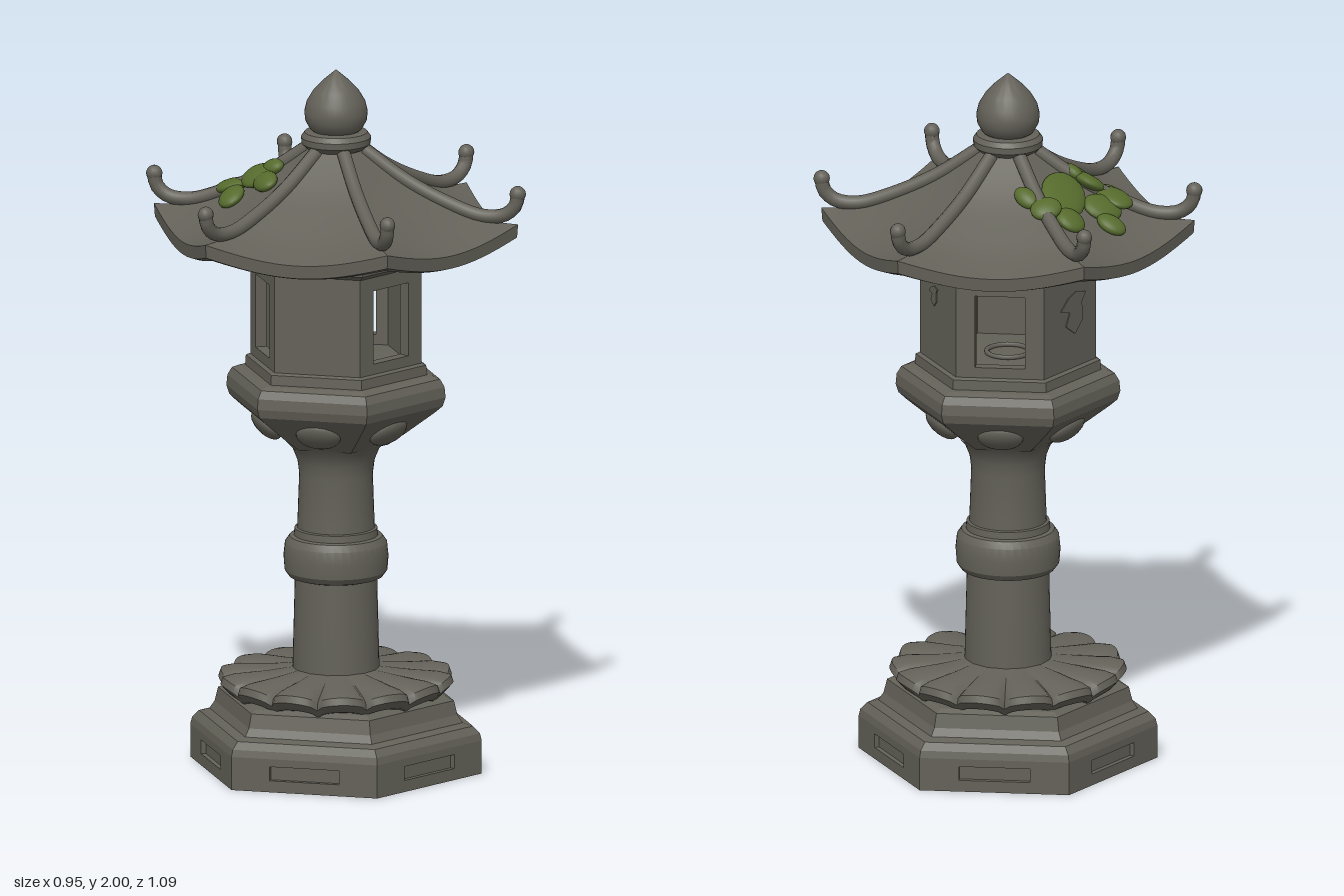
import * as THREE from 'three';
import { toCreasedNormals } from 'three/addons/utils/BufferGeometryUtils.js';

const SIXTH = Math.PI / 3;
const COS30 = Math.cos(Math.PI / 6);
const V2 = (p) => new THREE.Vector2(p[0], p[1]);

// Roof section along a hexagon corner: [radius, height]
const ROOF_TOP = [[0.525, 1.54], [0.42, 1.572], [0.32, 1.62], [0.2, 1.687], [0.07, 1.785]];
const ROOF_R = 0.525;

// Corner radius of a unit hexagon outline at angle a (a = 0 is a corner)
function hexFactor(a) {
  const rel = (((a % SIXTH) + SIXTH) % SIXTH) - SIXTH / 2;
  return COS30 / Math.cos(rel);
}
// Eave lift, greatest at the corners
function cornerLift(a, R) {
  const rel = ((((a % SIXTH) + SIXTH) % SIXTH) - SIXTH / 2) / (SIXTH / 2);
  return 0.045 * rel * rel * Math.pow(R / ROOF_R, 3);
}
function roofY(x, z) {
  const a = Math.atan2(x, z);
  const R = Math.hypot(x, z) / hexFactor(a);
  for (let i = 0; i < ROOF_TOP.length - 1; i++) {
    const [r0, y0] = ROOF_TOP[i], [r1, y1] = ROOF_TOP[i + 1];
    if (R >= r1) return y0 + (y1 - y0) * (r0 - R) / (r0 - r1) + cornerLift(a, R);
  }
  return 1.78;
}

export function createModel() {
  const model = new THREE.Group();
  const stone = new THREE.MeshStandardMaterial({ color: 0x636158 });
  stone.name = 'stone';
  const moss = new THREE.MeshStandardMaterial({ color: 0x566b2d });
  moss.name = 'moss';

  function add(name, geo, mat = stone) {
    const mesh = new THREE.Mesh(geo, mat);
    mesh.name = name;
    model.add(mesh);
    return mesh;
  }
  // Turned part: six sides for hexagonal, many for round; rule may move each vertex
  function turned(name, pts, sides, crease = 0.6, rule = null) {
    const geo = new THREE.LatheGeometry(pts.map(V2), sides);
    const p = geo.attributes.position;
    if (rule) {
      for (let i = 0; i < p.count; i++) {
        const x = p.getX(i), z = p.getZ(i);
        const r = Math.hypot(x, z), a = Math.atan2(x, z);
        const [nr, ny] = rule(r, p.getY(i), a);
        p.setXYZ(i, Math.sin(a) * nr, ny, Math.cos(a) * nr);
      }
    }
    return add(name, toCreasedNormals(geo, crease));
  }
  // One flat side of a hexagonal prism, optionally with a rectangular opening
  function wall(name, side, R, y0, y1, depth, hole) {
    const s = new THREE.Shape([[-R / 2, y0], [R / 2, y0], [R / 2, y1], [-R / 2, y1]].map(V2));
    if (hole) {
      const [w, b, t] = hole;
      s.holes.push(new THREE.Path([[-w, b], [-w, t], [w, t], [w, b]].map(V2)));
    }
    const geo = new THREE.ExtrudeGeometry(s, { depth, bevelEnabled: false });
    geo.translate(0, 0, R * COS30 - depth);
    geo.rotateY((side + 0.5) * SIXTH);
    add(name, geo);
  }

  // Base: core, sides with sunken panels, stepped upper tier
  turned('baseCore', [[0, 0], [0.403, 0], [0.403, 0.1], [0, 0.1]], 6, 0.3);
  for (let i = 0; i < 6; i++) wall('basePanel', i, 0.42, 0, 0.095, 0.014, [0.1, 0.033, 0.073]);
  turned('baseStep', [[0, 0.09], [0.42, 0.095], [0.415, 0.115], [0.395, 0.135], [0.365, 0.143],
    [0.35, 0.165], [0.34, 0.205], [0.32, 0.215], [0, 0.215]], 6, 0.3);

  // Lotus collar with petals
  const PETALS = 14;
  turned('lotusCollar', [[0, 0.205], [0.255, 0.21], [0.31, 0.225], [0.332, 0.25], [0.325, 0.27],
    [0.29, 0.278], [0.2, 0.28], [0.1, 0.288]], PETALS * 10, 0.7, (r, y, a) => {
    const petal = Math.pow(Math.abs(Math.sin(a * PETALS / 2)), 0.5);
    const t = THREE.MathUtils.smoothstep(r, 0.12, 0.33);
    return [r * (1 - 0.07 * t * (1 - petal)), y - 0.022 * t * (1 - petal)];
  });

  // Column with middle ring and flared neck
  turned('column', [[0.122, 0.27], [0.115, 0.55], [0.108, 0.7], [0.103, 0.84], [0.108, 0.88],
    [0.122, 0.915], [0.145, 0.94]], 40);
  turned('columnRing', [[0.105, 0.54], [0.132, 0.548], [0.144, 0.565], [0.147, 0.605], [0.143, 0.643],
    [0.13, 0.662], [0.118, 0.665], [0.116, 0.685], [0.1, 0.69]], 40, 0.5);

  // Hexagonal bowl with round bosses
  turned('bowl', [[0, 0.928], [0.15, 0.93], [0.2, 0.965], [0.285, 1.03], [0.308, 1.05], [0.316, 1.075],
    [0.313, 1.105], [0.3, 1.127], [0.28, 1.135], [0.262, 1.137], [0.26, 1.165], [0.25, 1.17],
    [0, 1.178]], 6, 0.3);
  for (let i = 0; i < 6; i++) {
    const boss = new THREE.SphereGeometry(0.064, 24, 14);
    boss.scale(1, 0.8, 0.42);
    boss.rotateX(0.75);
    boss.translate(0, 0.992, 0.203);
    boss.rotateY((i + 0.5) * SIXTH);
    add('bowlBoss', boss);
  }

  // Light chamber: openings on alternate sides
  for (let i = 0; i < 6; i++) {
    wall(i % 2 ? 'chamberWall' : 'windowWall', i, 0.247, 1.16, 1.46, 0.032, i % 2 ? null : [0.07, 1.2, 1.41]);
  }
  const dish = new THREE.TorusGeometry(0.06, 0.007, 8, 32);
  dish.rotateX(Math.PI / 2);
  dish.translate(0, 1.182, 0);
  add('lampDish', dish);
  turned('chamberCornice', [[0, 1.448], [0.25, 1.45], [0.268, 1.463], [0.27, 1.478], [0.28, 1.482],
    [0.28, 1.51], [0, 1.51]], 6, 0.3);

  // Worn patches on the closed walls: side, size, sideways shift, height
  for (const [side, size, dx, y] of [[3, 0.062, 0.01, 1.33], [1, 0.03, -0.03, 1.365]]) {
    const s = new THREE.Shape([[-0.9, 0.3], [-0.2, 0.1], [-0.5, -0.5], [0.2, -1], [0.8, -0.4],
      [0.7, 0.4], [1, 0.8], [0.3, 1], [-0.3, 0.8]].map(([a, b]) => new THREE.Vector2(a * size, b * size)));
    const geo = new THREE.ExtrudeGeometry(s, { depth: 0.004, bevelEnabled: false });
    geo.translate(dx, y, 0.247 * COS30 - 0.001);
    geo.rotateY((side + 0.5) * SIXTH);
    add('wornPatch', geo);
  }

  // Roof: concave hexagonal shell with lifted corners
  const topCurve = new THREE.SplineCurve(ROOF_TOP.map(V2)).getPoints(14).map((p) => [p.x, p.y]);
  turned('roof', [[0, 1.505], [0.25, 1.505], [0.4, 1.502], [0.5, 1.497], [0.522, 1.503], ...topCurve, [0, 1.79]],
    96, 0.45, (r, y, a) => [r * hexFactor(a), y + cornerLift(a, r)]);

  // Ridges with upturned ends
  const ridgePath = new THREE.CatmullRomCurve3([[0.08, 1.775], [0.2, 1.694], [0.32, 1.636], [0.42, 1.604],
    [0.485, 1.61], [0.517, 1.638], [0.524, 1.668]].map(([r, y]) => new THREE.Vector3(0, y, r)));
  for (let i = 0; i < 6; i++) {
    const ridge = new THREE.TubeGeometry(ridgePath, 30, 0.02, 10);
    ridge.rotateY(i * SIXTH);
    add('roofRidge', ridge);
    const tip = new THREE.SphereGeometry(0.023, 14, 10);
    tip.scale(0.95, 1, 1);
    tip.translate(0, 1.672, 0.524);
    tip.rotateY(i * SIXTH);
    add('ridgeTip', tip);
  }

  // Finial: ring and pointed bud
  turned('finialRing', [[0.06, 1.765], [0.085, 1.778], [0.097, 1.79], [0.098, 1.808], [0.088, 1.822],
    [0.06, 1.826]], 36);
  turned('finialBud', [[0.05, 1.815], [0.072, 1.83], [0.086, 1.855], [0.089, 1.88], [0.082, 1.91],
    [0.064, 1.94], [0.038, 1.968], [0.015, 1.988], [0, 2]], 36);

  // Moss cushions lying on the roof: x, z, half width, half length, turn
  const cushions = [
    [-0.09, -0.18, 0.068, 0.1, -0.5], [-0.07, -0.272, 0.045, 0.046, 0], [-0.005, -0.25, 0.045, 0.04, 0],
    [0.03, -0.195, 0.028, 0.042, 0.3], [-0.2, -0.262, 0.034, 0.045, 0.8], [-0.2, -0.2, 0.06, 0.05, 0],
    [-0.255, -0.16, 0.05, 0.06, 0.2], [-0.28, -0.085, 0.04, 0.05, -0.5], [-0.197, -0.03, 0.036, 0.056, 0],
    [-0.2, -0.1, 0.05, 0.06, 0], [-0.16, -0.08, 0.028, 0.04, 0.4]];
  const up = new THREE.Vector3(0, 1, 0);
  for (const [x, z, w, l, turn] of cushions) {
    const geo = new THREE.SphereGeometry(1, 20, 12);
    geo.scale(w, 0.02, l);
    geo.rotateY(turn);
    const y = roofY(x, z), e = 0.03;
    const normal = new THREE.Vector3((y - roofY(x + e, z)) / e, 1, (y - roofY(x, z + e)) / e).normalize();
    geo.applyQuaternion(new THREE.Quaternion().setFromUnitVectors(up, normal));
    geo.translate(x, y + 0.012, z);
    add('mossCushion', geo, moss);
  }
  return model;
}
